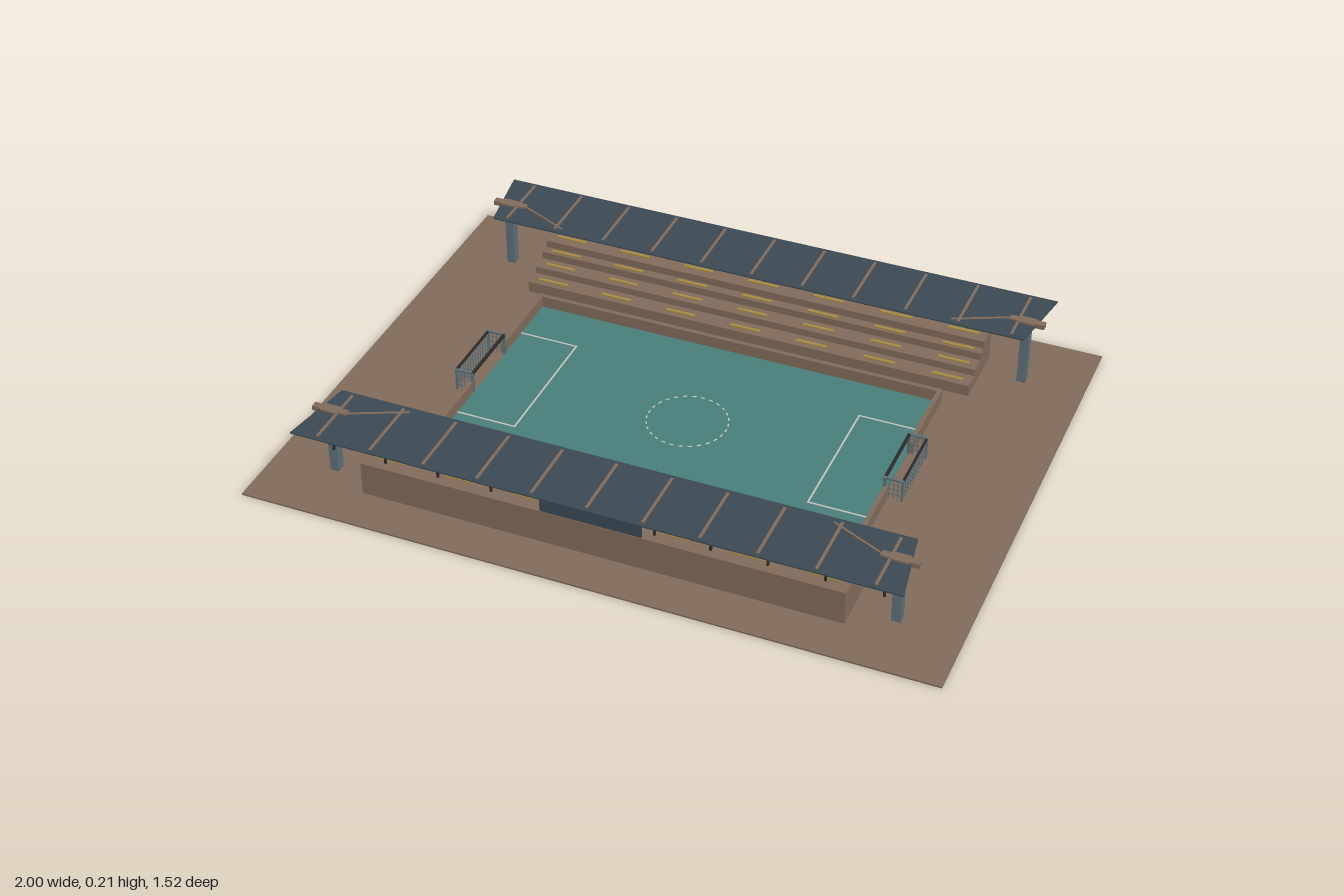
import * as THREE from 'three';

const mat = (name, color) => {
  const m = new THREE.MeshStandardMaterial({ color });
  m.name = name;
  return m;
};

export function createModel() {
  const earth = mat('earth brown', 0x826c5b);
  const turf = mat('teal turf', 0x4a7f7a);
  const slate = mat('roof slate', 0x3c4a54);
  const steel = mat('steel grey', 0x5f7078);
  const seatYellow = mat('seat yellow', 0xa88c40);
  const dark = mat('dark metal', 0x2e2c2a);
  const chalk = mat('chalk white', 0xc4c6be);

  const model = new THREE.Group();
  model.name = 'stadium';

  // Box given by its limits on each axis
  const box = (parent, name, m, x0, x1, y0, y1, z0, z1) => {
    const mesh = new THREE.Mesh(new THREE.BoxGeometry(x1 - x0, y1 - y0, z1 - z0), m);
    mesh.position.set((x0 + x1) / 2, (y0 + y1) / 2, (z0 + z1) / 2);
    mesh.name = name;
    parent.add(mesh);
    return mesh;
  };

  // Ground and pitch
  box(model, 'ground', earth, -1, 1, 0, 0.005, -0.76, 0.76);
  box(model, 'pitch', turf, -0.62, 0.62, 0.005, 0.009, -0.36, 0.36);

  // Centre circle of short dashes
  const circle = new THREE.Group();
  circle.name = 'centreCircle';
  for (let i = 0; i < 28; i++) {
    const a = (i / 28) * Math.PI * 2;
    const dash = box(circle, 'circleDash', chalk, -0.002, 0.002, 0.009, 0.0105, -0.006, 0.006);
    dash.position.x = Math.cos(a) * 0.117;
    dash.position.z = Math.sin(a) * 0.117;
    dash.rotation.y = -a;
  }
  model.add(circle);

  // Long perimeter walls
  for (const s of [-1, 1]) {
    const z = s * 0.367;
    box(model, 'sideWall', earth, -0.633, 0.633, 0.005, 0.045, z - 0.007, z + 0.007);
  }

  // One pitch end: penalty box, end walls with a gap, and the goal
  const buildEnd = () => {
    const end = new THREE.Group();
    end.name = 'pitchEnd';
    box(end, 'penaltyLine', chalk, 0.438, 0.443, 0.009, 0.0105, -0.212, 0.212);
    for (const s of [-1, 1]) {
      const z = s * 0.21, w = s * 0.2325, g = s * 0.104;
      box(end, 'penaltySideLine', chalk, 0.438, 0.62, 0.009, 0.0105, z - 0.0025, z + 0.0025);
      box(end, 'endWall', earth, 0.62, 0.633, 0.005, 0.045, w - 0.1275, w + 0.1275);
      box(end, 'goalPost', steel, 0.618, 0.626, 0.005, 0.075, g - 0.004, g + 0.004);
      box(end, 'goalBackPost', steel, 0.67, 0.676, 0.005, 0.075, g - 0.003, g + 0.003);
      box(end, 'goalTopRail', steel, 0.618, 0.676, 0.069, 0.075, g - 0.004, g + 0.004);
      // Side net
      for (let i = 1; i < 4; i++) {
        const x = 0.622 + i * 0.0127, y = 0.005 + i * 0.017;
        box(end, 'sideNetUpright', steel, x - 0.001, x + 0.001, 0.005, 0.07, g - 0.001, g + 0.001);
        box(end, 'sideNetStrand', steel, 0.622, 0.673, y - 0.001, y + 0.001, g - 0.001, g + 0.001);
      }
    }
    box(end, 'goalCrossbar', dark, 0.618, 0.626, 0.068, 0.075, -0.104, 0.104);
    box(end, 'goalBackBar', dark, 0.67, 0.676, 0.069, 0.075, -0.104, 0.104);
    // Back net
    for (let i = -6; i <= 6; i++) {
      const z = i * 0.0155;
      box(end, 'netUpright', steel, 0.672, 0.674, 0.005, 0.07, z - 0.001, z + 0.001);
    }
    for (let i = 1; i < 5; i++) {
      const y = 0.005 + i * 0.0135;
      box(end, 'netStrand', steel, 0.672, 0.674, y - 0.001, y + 0.001, -0.104, 0.104);
    }
    return end;
  };

  // One grandstand with its roof, on the +z side
  const buildStand = () => {
    const stand = new THREE.Group();
    stand.name = 'grandstand';

    // Stepped terrace, extruded along x
    const fronts = [0.423, 0.476, 0.527, 0.556];
    const tops = [0.04, 0.062, 0.085, 0.108];
    const profile = new THREE.Shape();
    profile.moveTo(fronts[0], 0.005);
    fronts.forEach((z, i) => {
      profile.lineTo(z, tops[i]);
      profile.lineTo(fronts[i + 1] ?? 0.632, tops[i]);
    });
    profile.lineTo(0.632, 0.005);
    const terraceGeo = new THREE.ExtrudeGeometry(profile, { depth: 1.392, bevelEnabled: false });
    terraceGeo.translate(0, 0, -0.696);
    terraceGeo.rotateY(-Math.PI / 2);
    const terrace = new THREE.Mesh(terraceGeo, earth);
    terrace.name = 'terrace';
    stand.add(terrace);

    // Seat strips on each step
    const seatZ = [0.447, 0.501, 0.542, 0.59];
    seatZ.forEach((z, row) => {
      for (let i = -3; i <= 3; i++) {
        const x = i * 0.208;
        box(stand, 'seatStrip', seatYellow, x - 0.047, x + 0.047, tops[row], tops[row] + 0.003, z - 0.005, z + 0.005);
      }
    });

    // Roof slab, wider at the back
    const plan = new THREE.Shape();
    plan.moveTo(-0.83, 0.472);
    plan.lineTo(0.83, 0.472);
    plan.lineTo(0.867, 0.694);
    plan.lineTo(-0.867, 0.694);
    const roofGeo = new THREE.ExtrudeGeometry(plan, { depth: 0.004, bevelEnabled: false });
    roofGeo.rotateX(Math.PI / 2);
    const roof = new THREE.Mesh(roofGeo, slate);
    roof.name = 'roof';
    roof.position.y = 0.207;
    stand.add(roof);

    // Roof ribs and the slim posts under them
    for (let i = -5; i <= 5; i++) {
      const x = i * 0.158;
      box(stand, 'roofRib', earth, x - 0.004, x + 0.004, 0.206, 0.21, 0.485, 0.682);
      box(stand, 'roofPost', dark, x - 0.003, x + 0.003, 0.108, 0.205, 0.602, 0.608);
    }

    // Hanging board at the rear
    box(stand, 'board', slate, -0.145, 0.145, 0.138, 0.198, 0.657, 0.663);

    // Corner pillars with brackets and diagonal stays
    for (const s of [-1, 1]) {
      const x = s * 0.815;
      box(stand, 'pillar', steel, x - 0.013, x + 0.013, 0.005, 0.2, 0.546, 0.574);
      box(stand, 'bracketBeam', earth, x - 0.052, x + 0.052, 0.198, 0.212, 0.552, 0.573);
      box(stand, 'bracketHead', earth, x - 0.025, x + 0.025, 0.197, 0.2125, 0.547, 0.578);
      const from = new THREE.Vector2(s * 0.765, 0.563), to = new THREE.Vector2(s * 0.61, 0.492);
      const d = to.clone().sub(from);
      const stay = box(stand, 'diagonalStay', earth, -d.length() / 2, d.length() / 2, 0.2, 0.2095, -0.003, 0.003);
      stay.position.x = (from.x + to.x) / 2;
      stay.position.z = (from.y + to.y) / 2;
      stay.rotation.y = -Math.atan2(d.y, d.x);
    }
    return stand;
  };

  // Both ends and both stands by half turns
  for (const turn of [0, Math.PI]) {
    for (const part of [buildEnd(), buildStand()]) {
      part.rotation.y = turn;
      model.add(part);
    }
  }
  return model;
}
